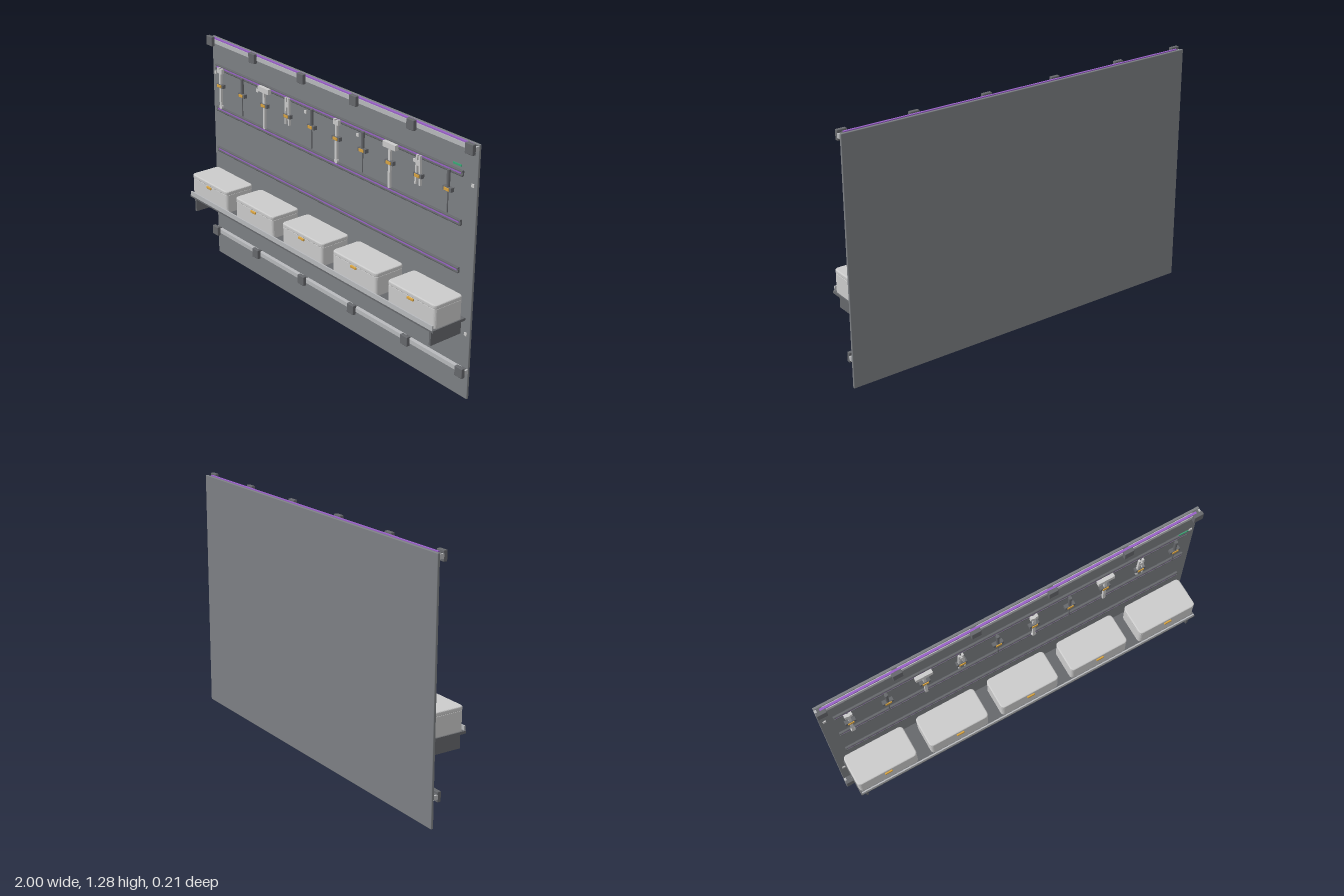
import * as THREE from 'three';
import { RoundedBoxGeometry } from 'three/addons/geometries/RoundedBoxGeometry.js';

const mat = (color) => new THREE.MeshStandardMaterial({ color });
const M = {
  grey: mat(0xcccccc), panel: mat(0x7d8084), dark: mat(0x66686c), steel: mat(0xb8babd),
  purple: mat(0x9a62c8), gold: mat(0xd9a441), green: mat(0x3aa876),
};

function add(parent, name, geometry, material, x = 0, y = 0, z = 0) {
  const mesh = new THREE.Mesh(geometry, material);
  mesh.name = name;
  mesh.position.set(x, y, z);
  parent.add(mesh);
  return mesh;
}

// Box given by its lower and upper limits
function span(parent, name, material, x0, x1, y0, y1, z0, z1) {
  return add(parent, name, new THREE.BoxGeometry(x1 - x0, y1 - y0, z1 - z0), material,
    (x0 + x1) / 2, (y0 + y1) / 2, (z0 + z1) / 2);
}

function group(parent, name, x = 0, y = 0, z = 0) {
  const g = new THREE.Group();
  g.name = name;
  g.position.set(x, y, z);
  parent.add(g);
  return g;
}

// Extrudes a [z, y] outline along x, centred
function barAlongX(outline, length) {
  const shape = new THREE.Shape(outline.map(([z, y]) => new THREE.Vector2(-z, y)));
  const geo = new THREE.ExtrudeGeometry(shape, { depth: length, bevelEnabled: false });
  return geo.translate(0, 0, -length / 2).rotateY(Math.PI / 2);
}

// Rounded slab seen from above, with softened top and bottom edges
function roundedSlab(w, h, d, r, bevel) {
  const a = w / 2 - bevel, b = d / 2 - bevel;
  const s = new THREE.Shape();
  s.moveTo(-a + r, -b).lineTo(a - r, -b).quadraticCurveTo(a, -b, a, -b + r);
  s.lineTo(a, b - r).quadraticCurveTo(a, b, a - r, b);
  s.lineTo(-a + r, b).quadraticCurveTo(-a, b, -a, b - r);
  s.lineTo(-a, -b + r).quadraticCurveTo(-a, -b, -a + r, -b);
  const geo = new THREE.ExtrudeGeometry(s, {
    depth: h - 2 * bevel, bevelThickness: bevel, bevelSize: bevel, bevelSegments: 3, curveSegments: 6,
  });
  return geo.translate(0, 0, bevel).rotateX(-Math.PI / 2);
}

// Horizontal rail carried by square clamp blocks
function clampRail(parent, name, y) {
  const g = group(parent, name, 0, y);
  span(g, 'railBar', M.steel, -1, 1, -0.011, 0.011, -0.094, -0.072);
  const block = new RoundedBoxGeometry(0.05, 0.051, 0.02, 2, 0.003);
  for (const x of [-0.975, -0.6, -0.2, 0.2, 0.6, 0.975]) {
    add(g, 'clampBlock', block, M.dark, x, 0, -0.064);
    span(g, 'clampStem', M.dark, x - 0.014, x + 0.014, -0.0135, 0.0135, -0.094, -0.07);
  }
  return g;
}

// Slotted tool rail with a coloured strip in its front groove
function slotRail(parent, name, y) {
  const g = group(parent, name, 0, y, -0.0675);
  const outline = [
    [-0.0065, -0.011], [-0.003, -0.0145], [0.004, -0.0145], [0.0065, -0.011], [0.0065, -0.006], [0.002, -0.006],
    [0.002, 0.006], [0.0065, 0.006], [0.0065, 0.011], [0.004, 0.0145], [-0.003, 0.0145], [-0.0065, 0.011],
  ];
  add(g, 'railBody', barAlongX(outline, 1.87), M.dark);
  span(g, 'railStrip', M.purple, -0.925, 0.925, -0.003, 0.005, 0.001, 0.0045);
}

// Tools hang in the plane z = -0.05 of their group
const toolMakers = {
  wrench(g) {
    span(g, 'shaft', M.grey, -0.007, 0.007, 0.92, 1.11, -0.006, 0.006);
    for (const s of [-1, 1]) span(g, 'jaw', M.grey, s * 0.013 - 0.007, s * 0.013 + 0.007, 1.1, 1.127, -0.008, 0.008);
    span(g, 'jawBase', M.grey, -0.02, 0.02, 1.1, 1.12, -0.008, 0.008);
    add(g, 'ringEnd', new THREE.CylinderGeometry(0.012, 0.012, 0.012, 16).rotateX(Math.PI / 2), M.grey, 0, 0.915, 0);
  },
  screwdriver(g) {
    add(g, 'handle', new THREE.CylinderGeometry(0.009, 0.008, 0.1, 12), M.dark, 0, 1.072, 0);
    add(g, 'blade', new THREE.CylinderGeometry(0.003, 0.003, 0.11, 8), M.dark, 0, 0.972, 0);
  },
  hammer(g) {
    span(g, 'hammerHead', M.grey, -0.044, 0.044, 1.1, 1.127, -0.01, 0.01);
    span(g, 'shaft', M.grey, -0.007, 0.007, 0.905, 1.1, -0.006, 0.006);
  },
  pliers(g) {
    for (const s of [-1, 1]) {
      const arm = span(g, 'plierArm', M.grey, -0.005, 0.005, 0.985, 1.127, -0.006, 0.006);
      arm.position.x = s * 0.012;
      arm.rotation.z = s * 0.04;
    }
    add(g, 'plierPivot', new THREE.CylinderGeometry(0.013, 0.013, 0.014, 16).rotateX(Math.PI / 2), M.grey, 0, 1.09, 0);
  },
};

export function createModel() {
  const model = new THREE.Group();
  model.name = 'wallToolRack';

  // Back panel and its screws
  add(model, 'backPanel', new RoundedBoxGeometry(2, 1.267, 0.013, 2, 0.003), M.panel, 0, 0.6335, -0.0995);
  const screw = new THREE.BoxGeometry(0.016, 0.016, 0.006);
  for (const y of [1.07, 0.337])
    for (const x of [-0.975, -0.6, -0.2, 0.2, 0.6, 0.975]) add(model, 'panelScrew', screw, M.grey, x, y, -0.091);

  // Clamp rails, the upper one with a light strip
  const upper = clampRail(model, 'upperClampRail', 1.25);
  span(upper, 'lightStrip', M.purple, -0.975, 0.975, 0.011, 0.018, -0.087, -0.076);
  clampRail(model, 'lowerClampRail', 0.149);

  // Tool rails
  [1.12, 0.886, 0.653].forEach((y, i) => slotRail(model, ['upper', 'middle', 'lower'][i] + 'ToolRail', y));
  span(model, 'statusLight', M.green, 0.88, 0.932, 1.154, 1.163, -0.061, -0.057);

  // Ten hanging tools, each in a clip
  const order = ['wrench', 'screwdriver', 'hammer', 'pliers', 'screwdriver'];
  for (let i = 0; i < 10; i++) {
    const kind = order[i % 5];
    const g = group(model, kind, -0.87 + i * 0.1927, 0, -0.05);
    toolMakers[kind](g);
    span(g, 'clip', M.dark, -0.027, 0.027, 1.021, 1.041, -0.011, 0.009);
    span(g, 'clipBand', M.gold, -0.016, 0.016, 1.024, 1.038, 0.008, 0.013);
  }

  // Shelf with front lip and side brackets
  const shelf = group(model, 'shelf');
  span(shelf, 'shelfBoard', M.dark, -0.967, 0.967, 0.403, 0.416, -0.093, 0.105);
  span(shelf, 'shelfLip', M.steel, -0.96, 0.96, 0.412, 0.438, 0.0985, 0.1055);
  for (const x of [-0.935, 0.935]) span(shelf, 'shelfBracket', M.dark, x - 0.006, x + 0.006, 0.325, 0.404, -0.093, 0.093);

  // Storage boxes with lids and latches
  const body = roundedSlab(0.326, 0.1, 0.168, 0.018, 0.003);
  const lid = roundedSlab(0.328, 0.022, 0.172, 0.018, 0.006);
  for (let i = -2; i <= 2; i++) {
    const g = group(model, 'storageBox', i * 0.4, 0.416, 0.007);
    add(g, 'boxBody', body, M.grey);
    add(g, 'boxLid', lid, M.grey, 0, 0.098, 0);
    add(g, 'boxLatch', new RoundedBoxGeometry(0.042, 0.013, 0.009, 2, 0.003), M.gold, 0, 0.091, 0.0875);
  }
  return model;
}
